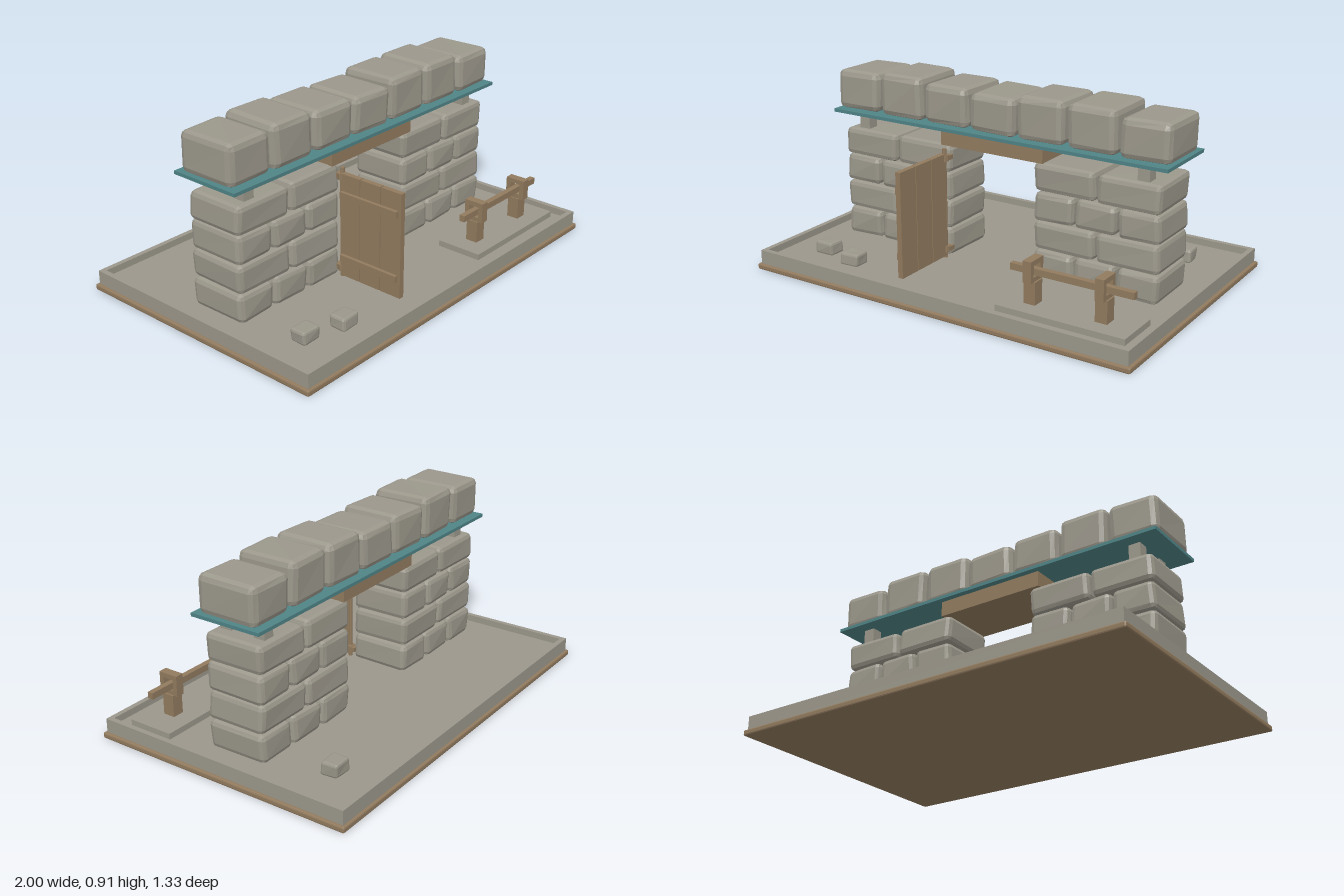
import * as THREE from 'three';
import { RoundedBoxGeometry } from 'three/addons/geometries/RoundedBoxGeometry.js';

const flat = (name, color) => {
  const m = new THREE.MeshStandardMaterial({ color, flatShading: true });
  m.name = name;
  return m;
};

export function createModel() {
  const stone = flat('stone', 0x9b978b);
  const wood = flat('wood', 0x917a5e);
  const teal = flat('teal', 0x4f8386);
  const root = new THREE.Group();
  root.name = 'stoneGate';

  const add = (name, geo, mat, x = 0, y = 0, z = 0, parent = root) => {
    const mesh = new THREE.Mesh(geo, mat);
    mesh.name = name;
    mesh.position.set(x, y, z);
    parent.add(mesh);
    return mesh;
  };
  const group = (name) => {
    const g = new THREE.Group();
    g.name = name;
    root.add(g);
    return g;
  };
  // Box given by its minimum and maximum along each axis
  const box = (name, mat, [x0, x1], [y0, y1], [z0, z1], parent = root) =>
    add(name, new THREE.BoxGeometry(x1 - x0, y1 - y0, z1 - z0), mat,
      (x0 + x1) / 2, (y0 + y1) / 2, (z0 + z1) / 2, parent);

  // Hewn block: chamfered box with slightly uneven faces
  let seed = 0;
  const block = (name, [x0, x1], [y0, y1], [z0, z1], r, parent = root) => {
    const geo = new RoundedBoxGeometry(x1 - x0, y1 - y0, z1 - z0, 1, r);
    const p = geo.attributes.position;
    const k = ++seed * 1.7;
    for (let i = 0; i < p.count; i++) {
      const x = p.getX(i), y = p.getY(i), z = p.getZ(i);
      p.setXYZ(i,
        x + 0.003 * Math.sin(31 * y + 23 * z + k),
        y + 0.002 * Math.sin(27 * x + 19 * z + k * 2),
        z + 0.003 * Math.sin(21 * x + 33 * y + k * 3));
    }
    geo.computeVertexNormals();
    return add(name, geo, stone, (x0 + x1) / 2, (y0 + y1) / 2, (z0 + z1) / 2, parent);
  };

  // Base: wooden board, stone floor and raised rim
  const base = group('base');
  add('baseBoard', new RoundedBoxGeometry(2, 0.028, 1.33, 1, 0.007), wood, 0, 0.014, 0, base);
  box('floor', stone, [-0.97, 0.97], [0.026, 0.062], [-0.64, 0.64], base);
  for (const s of [-1, 1]) {
    const zs = s > 0 ? [0.627, 0.652] : [-0.652, -0.627];
    const xs = s > 0 ? [0.96, 0.985] : [-0.985, -0.96];
    box('rimLong', stone, [-0.985, 0.985], [0.026, 0.095], zs, base);
    box('rimShort', stone, xs, [0.026, 0.095], [-0.627, 0.627], base);
  }

  // Pillars: four courses of two or three blocks
  for (const s of [-1, 1]) {
    const pillar = group(s > 0 ? 'leftPillar' : 'rightPillar');
    for (let row = 0; row < 4; row++) {
      const n = row % 2 ? 2 : 3;
      const y0 = 0.06 + row * 0.138, w = 0.642 / n;
      for (let i = 0; i < n; i++) {
        const a = s * 0.543 - 0.321 + i * w;
        block('pillarBlock', [a + 0.006, a + w - 0.006], [y0, y0 + 0.136],
          [-0.15, 0.15], 0.024, pillar);
      }
    }
  }

  // Lintel: beam, spacers and teal plate
  const lintel = group('lintel');
  box('lintelBeam', wood, [-0.278, 0.275], [0.61, 0.686], [-0.15, 0.15], lintel);
  for (const x of [-0.76, 0.76])
    for (const z of [-0.09, 0.09])
      box('spacer', stone, [x - 0.029, x + 0.029], [0.605, 0.686], [z - 0.028, z + 0.028], lintel);
  box('lintelPlate', teal, [-0.9, 0.9], [0.685, 0.701], [-0.18, 0.18], lintel);

  // Parapet of large blocks with uneven tops
  const parapet = group('parapet');
  [0.893, 0.908, 0.89, 0.882, 0.905, 0.906, 0.883].forEach((top, i) => {
    const x = (i - 3) * 0.257;
    block('parapetBlock', [x - 0.12, x + 0.12], [0.7, top], [-0.152, 0.152], 0.03, parapet);
  });

  // Open door: three planks, two battens, hinge rod and knuckles
  const door = group('door');
  for (let i = 0; i < 3; i++) {
    const z = 0.178 + i * 0.117;
    box('doorPlank', wood, [-0.257, -0.231], [0.075, 0.58], [z, z + 0.113], door);
  }
  for (const y of [0.17, 0.482])
    box('doorBatten', wood, [-0.274, -0.255], [y - 0.016, y + 0.016], [0.19, 0.51], door);
  add('hingeRod', new THREE.CylinderGeometry(0.01, 0.01, 0.54, 8), wood, -0.24, 0.334, 0.178, door);
  for (const y of [0.108, 0.56]) {
    box('hingeArm', wood, [-0.252, -0.218], [y - 0.011, y + 0.011], [0.14, 0.178], door);
    add('hingeKnuckle', new THREE.CylinderGeometry(0.021, 0.021, 0.03, 8), wood, -0.24, y, 0.176, door);
  }

  // Hitching rail on a stone pad; each post carries a square ring
  const rail = group('hitchingRail');
  box('pad', stone, [0.29, 0.92], [0.06, 0.091], [0.33, 0.56], rail);
  box('railBar', wood, [0.305, 0.905], [0.222, 0.253], [0.432, 0.46], rail);
  for (const x of [0.415, 0.765]) {
    box('railPost', wood, [x - 0.029, x + 0.029], [0.09, 0.197], [0.419, 0.479], rail);
    const square = (h, Type) => new Type([[-h, -h], [h, -h], [h, h], [-h, h]]
      .map(([u, v]) => new THREE.Vector2(u, v)));
    const ring = square(0.05, THREE.Shape);
    ring.holes.push(square(0.027, THREE.Path));
    const geo = new THREE.ExtrudeGeometry(ring, { depth: 0.042, bevelEnabled: false });
    geo.translate(0, 0, -0.021).rotateY(Math.PI / 2);
    add('railRing', geo, wood, x, 0.245, 0.449, rail);
  }

  // Loose stones on the floor
  for (const [x, z, top] of [[-0.755, 0.424, 0.12], [-0.563, 0.47, 0.12], [0.72, -0.423, 0.125]])
    block('looseStone', [x - 0.05, x + 0.05], [0.058, top], [z - 0.042, z + 0.042], 0.011);

  return root;
}
